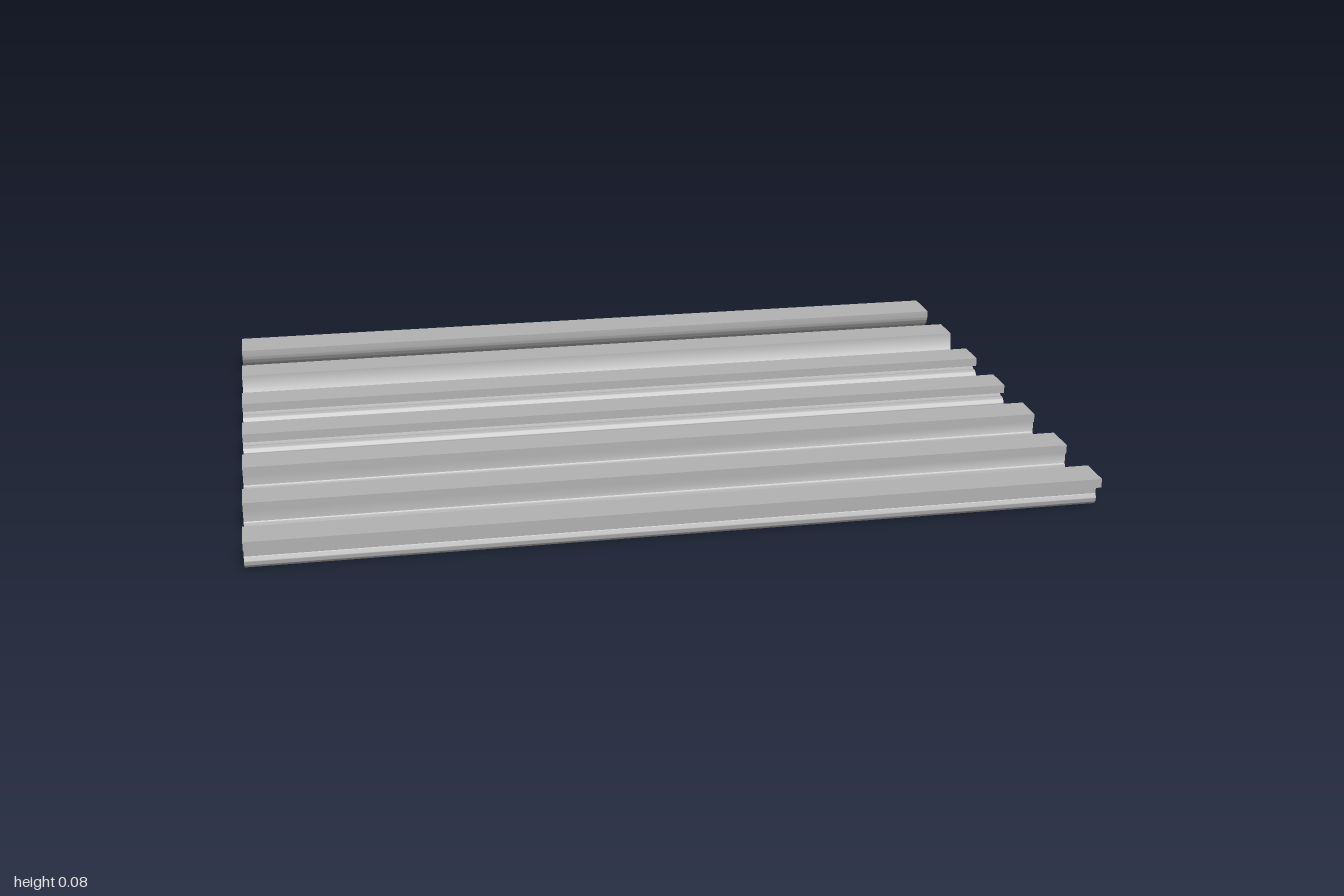
import * as THREE from 'three';
import { toCreasedNormals } from 'three/addons/utils/BufferGeometryUtils.js';

const TOP = 0.079, FLANGE = 0.057, HALF = 0.043, R = 0.018;

// Starts an outline with the flat top flange, ending at its lower right corner
function flange() {
  const s = new THREE.Shape();
  s.moveTo(-HALF, FLANGE);
  s.lineTo(-HALF, TOP);
  s.lineTo(HALF, TOP);
  s.lineTo(HALF, FLANGE);
  return s;
}

// Leg ending in a round bead, drawn from its right side to its left side
function leg(s, u, w) {
  const a = Math.asin(w / R);
  s.lineTo(u + w, FLANGE);
  s.absarc(u, R, R, Math.PI / 2 - a, Math.PI / 2 + a, true);
  s.lineTo(u - w, FLANGE);
}

// T section with one beaded stem
function singleBead() {
  const s = flange();
  leg(s, 0, 0.013);
  s.closePath();
  return s;
}

// Channel section with two beaded legs
function doubleBead() {
  const s = flange();
  leg(s, 0.0245, 0.0135);
  leg(s, -0.0245, 0.0135);
  s.closePath();
  return s;
}

// Stem spreading into an arched foot with round tips
function archedFoot() {
  const s = flange(), u = 0.029, y = 0.025, r = 0.0175;
  const a = 1.95, b = -2.1;
  s.lineTo(0.013, FLANGE);
  s.lineTo(0.013, 0.047);
  s.absarc(u, y, r, a, b, true);
  s.quadraticCurveTo(0, 0.026, -u - r * Math.cos(b), y + r * Math.sin(b));
  s.absarc(-u, y, r, Math.PI - b - 2 * Math.PI, Math.PI - a, true);
  s.lineTo(-0.013, 0.047);
  s.lineTo(-0.013, FLANGE);
  s.closePath();
  return s;
}

// Solid tapered section with a small rounded lip on each side
function tapered() {
  const s = new THREE.Shape();
  s.moveTo(-HALF, TOP);
  s.lineTo(HALF, TOP);
  s.lineTo(0.047, 0.036);
  s.quadraticCurveTo(0.054, 0.026, 0.05, 0.015);
  s.quadraticCurveTo(0.044, 0.01, 0.036, 0.01);
  s.lineTo(-0.036, 0.01);
  s.quadraticCurveTo(-0.044, 0.01, -0.05, 0.015);
  s.quadraticCurveTo(-0.054, 0.026, -0.047, 0.036);
  s.closePath();
  return s;
}

// Solid half round with a flat top
function halfRound() {
  const s = new THREE.Shape();
  s.moveTo(-0.054, TOP);
  s.lineTo(0.054, TOP);
  s.lineTo(0.054, 0.067);
  s.absellipse(0, 0.067, 0.054, 0.046, 0, -Math.PI, true);
  s.closePath();
  return s;
}

export function createModel() {
  const group = new THREE.Group();
  const grey = new THREE.MeshStandardMaterial({ color: 0xb2b2b2 });
  grey.name = 'grey';

  // Seven parallel strips, front to back
  const strips = [
    ['singleBeadStrip', singleBead(), 0.664],
    ['doubleBeadStripFront', doubleBead(), 0.445],
    ['doubleBeadStripBack', doubleBead(), 0.227],
    ['archedFootStripFront', archedFoot(), 0.007],
    ['archedFootStripBack', archedFoot(), -0.212],
    ['taperedStrip', tapered(), -0.432],
    ['halfRoundStrip', halfRound(), -0.652],
  ];
  for (const [name, shape, z] of strips) {
    const geo = new THREE.ExtrudeGeometry(shape, { depth: 2, bevelEnabled: false, curveSegments: 16 });
    geo.translate(0, 0, -1);
    geo.rotateY(Math.PI / 2);
    const mesh = new THREE.Mesh(toCreasedNormals(geo, 0.6), grey);
    mesh.name = name;
    mesh.position.z = z;
    group.add(mesh);
  }
  return group;
}
